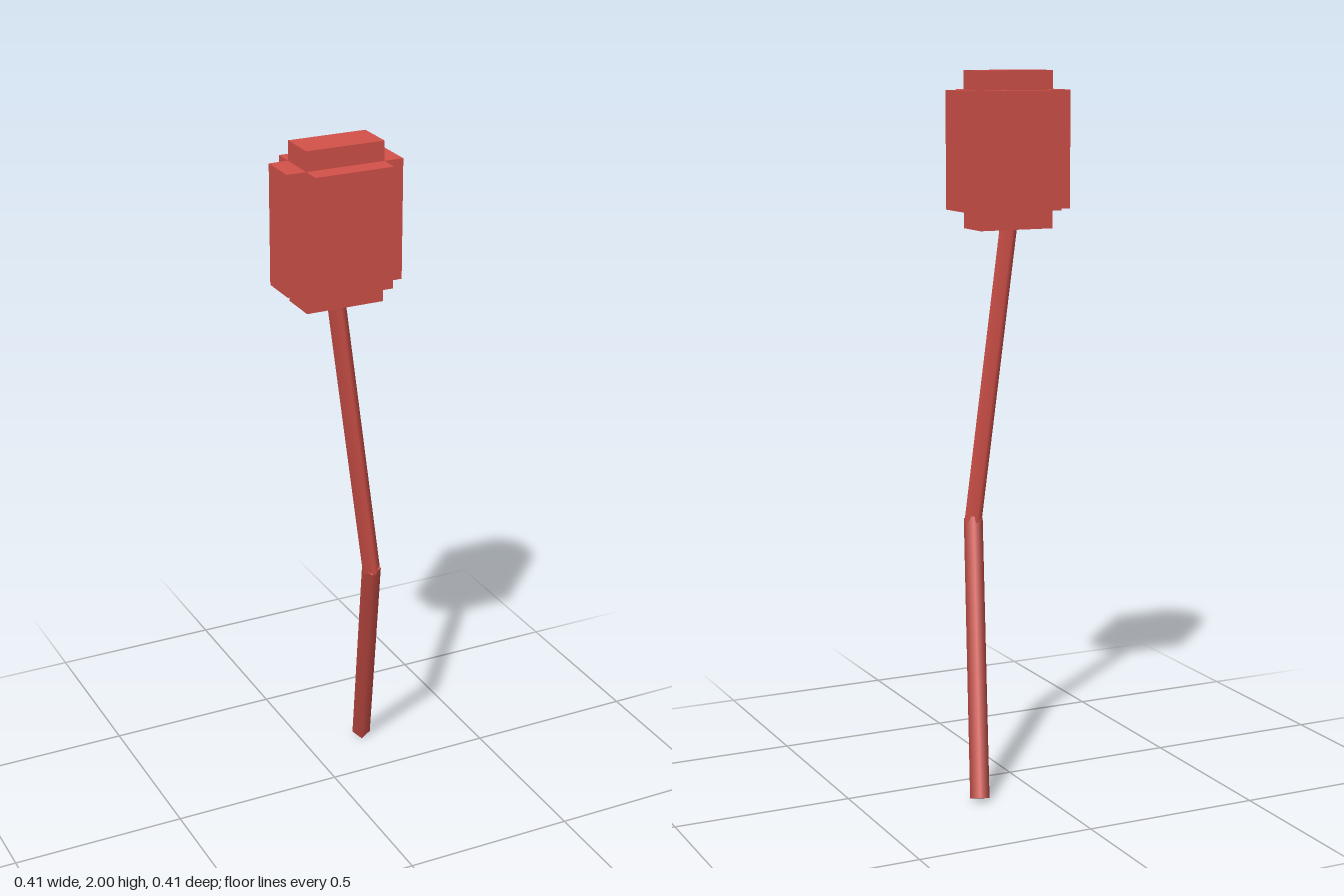
import * as THREE from 'three';

export function createModel() {
  const model = new THREE.Group();
  const material = new THREE.MeshStandardMaterial({ color: 0xd4524a });

  // Head: three crossing blocks around one centre
  const head = new THREE.Group();
  head.name = 'head';
  head.position.set(-0.041, 1.781, 0.094);
  const blocks = [
    ['tallBlock', 0.222, 0.438, 0.11],
    ['wideBlock', 0.332, 0.33, 0.11],
    ['deepBlock', 0.222, 0.33, 0.221],
  ];
  for (const [name, w, h, d] of blocks) {
    const block = new THREE.Mesh(new THREE.BoxGeometry(w, h, d), material);
    block.name = name;
    head.add(block);
  }
  model.add(head);

  // Four-sided rod between two points, one diagonal kept horizontal
  function rod(name, from, to, overlapFrom, overlapTo) {
    const dir = to.clone().sub(from).normalize();
    const a = from.clone().addScaledVector(dir, -overlapFrom);
    const b = to.clone().addScaledVector(dir, overlapTo);
    const side = new THREE.Vector3(dir.z, 0, -dir.x).normalize();
    const basis = new THREE.Matrix4().makeBasis(side, dir, side.clone().cross(dir));
    const mesh = new THREE.Mesh(new THREE.CylinderGeometry(0.027, 0.027, a.distanceTo(b), 4), material);
    mesh.name = name;
    mesh.quaternion.setFromRotationMatrix(basis);
    mesh.position.copy(a).lerp(b, 0.5);
    model.add(mesh);
  }

  // Stem: bent once, the lower half swinging backwards
  const top = new THREE.Vector3(-0.043, 1.57, 0.096);
  const bend = new THREE.Vector3(0.069, 0.735, 0.096);
  const tip = new THREE.Vector3(0.18, 0.01, -0.182);
  rod('upperStem', bend, top, 0.005, 0);
  rod('lowerStem', tip, bend, 0, 0.005);

  return model;
}
